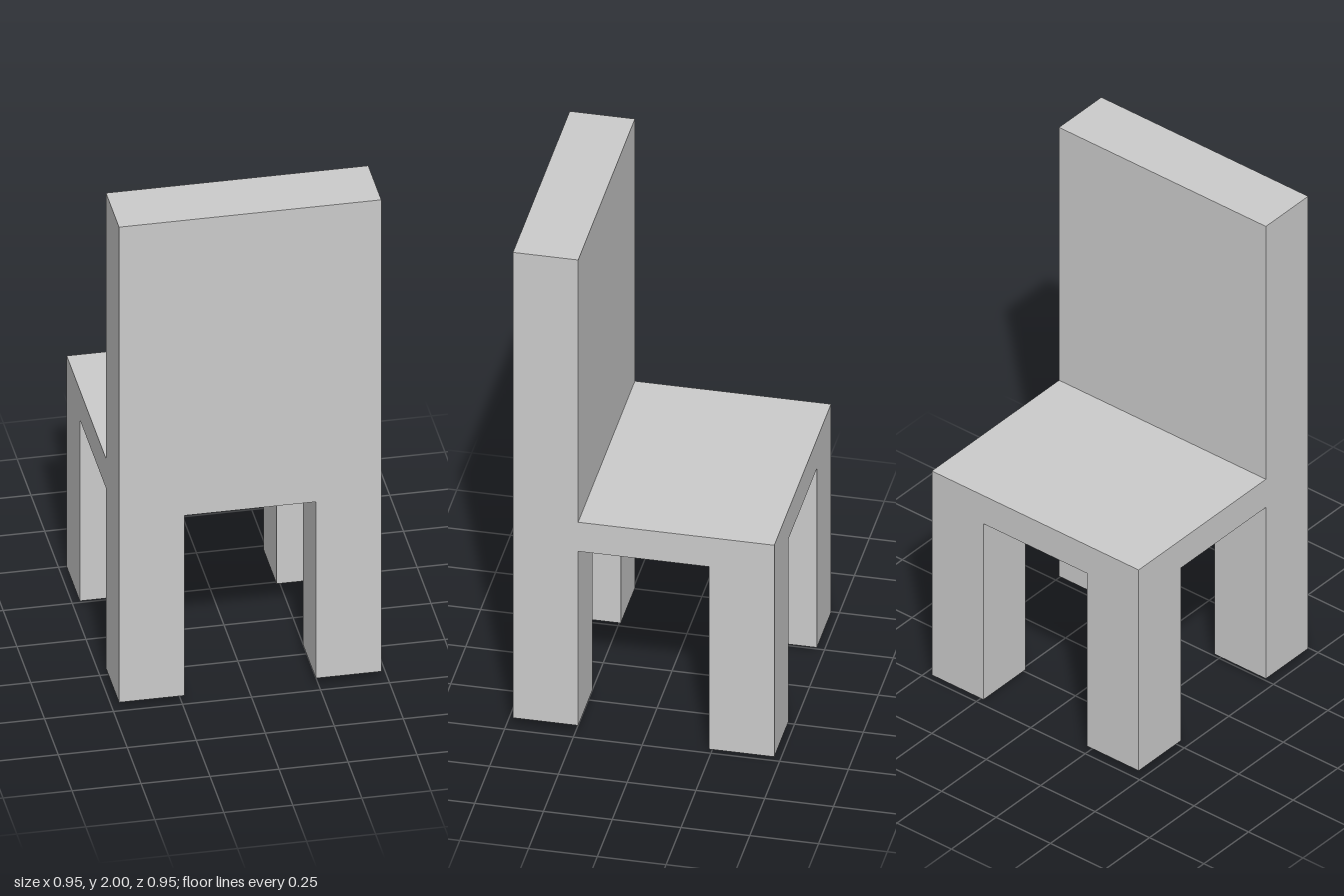
import * as THREE from 'three';

const HALF = 0.475;       // half of the square footprint
const INNER = 0.238;      // inner face of legs and backrest
const SEAT_BOTTOM = 0.77;
const SEAT_TOP = 0.893;
const TOP = 2;

export function createModel() {
  const chair = new THREE.Group();
  chair.name = 'chair';
  const material = new THREE.MeshStandardMaterial({ color: 0xcccccc, flatShading: true });

  // Adds a box spanning two opposite corners
  const addBox = (name, [x0, y0, z0], [x1, y1, z1]) => {
    const mesh = new THREE.Mesh(new THREE.BoxGeometry(x1 - x0, y1 - y0, z1 - z0), material);
    mesh.position.set((x0 + x1) / 2, (y0 + y1) / 2, (z0 + z1) / 2);
    mesh.name = name;
    chair.add(mesh);
  };

  // Seat slab and the tall panel rising from its +z edge
  addBox('seat', [-HALF, SEAT_BOTTOM, -HALF], [HALF, SEAT_TOP, HALF]);
  addBox('backrest', [-HALF, SEAT_TOP, INNER], [HALF, TOP, HALF]);

  // Four square legs of slightly uneven length: name, x side, z side, foot height
  const legs = [
    ['frontLeftLeg', 1, 1, 0.035],
    ['frontRightLeg', -1, 1, 0.02],
    ['backLeftLeg', 1, -1, 0],
    ['backRightLeg', -1, -1, 0.014],
  ];
  for (const [name, sx, sz, foot] of legs) {
    const x = sx > 0 ? INNER : -HALF;
    const z = sz > 0 ? INNER : -HALF;
    const width = HALF - INNER;
    addBox(name, [x, foot, z], [x + width, SEAT_BOTTOM, z + width]);
  }

  return chair;
}
